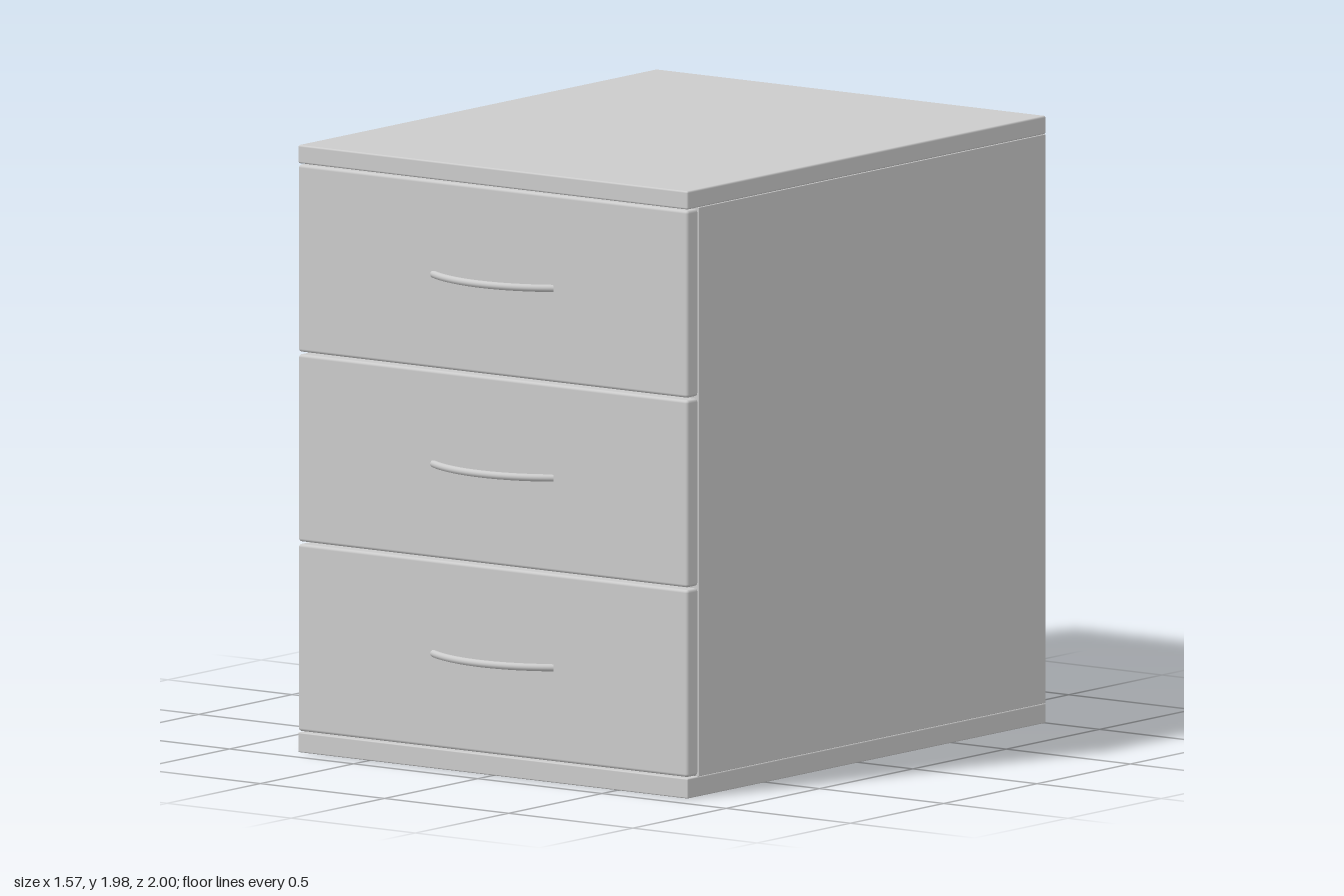
import * as THREE from 'three';
import { RoundedBoxGeometry } from 'three/addons/geometries/RoundedBoxGeometry.js';

const HALF_WIDTH = 0.785, HEIGHT = 1.98, BACK = -1, FRONT = 0.92;
const PANEL = 0.06, BASE = 0.065;

export function createModel() {
  const group = new THREE.Group();
  const material = new THREE.MeshStandardMaterial({ color: 0xcccccc });

  // Softly rounded board given by its [min, max] extents
  function board(name, [x0, x1], [y0, y1], [z0, z1], radius) {
    const geometry = new RoundedBoxGeometry(x1 - x0, y1 - y0, z1 - z0, 2, radius);
    const mesh = new THREE.Mesh(geometry, material);
    mesh.name = name;
    mesh.position.set((x0 + x1) / 2, (y0 + y1) / 2, (z0 + z1) / 2);
    group.add(mesh);
  }

  // Carcass
  const width = [-HALF_WIDTH, HALF_WIDTH];
  const innerWidth = [-HALF_WIDTH + PANEL, HALF_WIDTH - PANEL];
  const sideHeight = [BASE, HEIGHT - PANEL];
  board('topPanel', width, [HEIGHT - PANEL, HEIGHT], [BACK, FRONT], 0.006);
  board('basePanel', width, [0, BASE], [BACK, FRONT], 0.004);
  board('leftSide', [innerWidth[1], HALF_WIDTH], sideHeight, [BACK + 0.003, 0.86], 0.002);
  board('rightSide', [-HALF_WIDTH, innerWidth[0]], sideHeight, [BACK + 0.003, 0.86], 0.002);
  board('backPanel', innerWidth, sideHeight, [BACK + 0.013, BACK + 0.04], 0.002);

  // Bowed handle, a circular arc whose ends sink into the drawer front
  const halfSpan = 0.235, sagitta = 0.069;
  const radius = (halfSpan ** 2 + sagitta ** 2) / (2 * sagitta);
  const sweep = Math.asin(halfSpan / radius) + 0.02;
  const points = [];
  for (let i = 0; i <= 16; i++) {
    const a = sweep * (i / 8 - 1);
    points.push(new THREE.Vector3(radius * Math.sin(a), 0, radius * (Math.cos(a) - 1) + sagitta));
  }
  const handleGeometry = new THREE.TubeGeometry(new THREE.CatmullRomCurve3(points), 40, 0.012, 12);

  // Three drawers, bottom to top
  const count = 3, gap = 0.008;
  const pitch = (HEIGHT - PANEL - BASE) / count;
  for (let i = 0; i < count; i++) {
    const y = BASE + i * pitch;
    board(`drawerFront${i + 1}`, width, [y + gap / 2, y + pitch - gap / 2], [0.862, FRONT], 0.01);
    const handle = new THREE.Mesh(handleGeometry, material);
    handle.name = `handle${i + 1}`;
    handle.position.set(0, y + pitch / 2, FRONT);
    group.add(handle);
  }

  return group;
}
